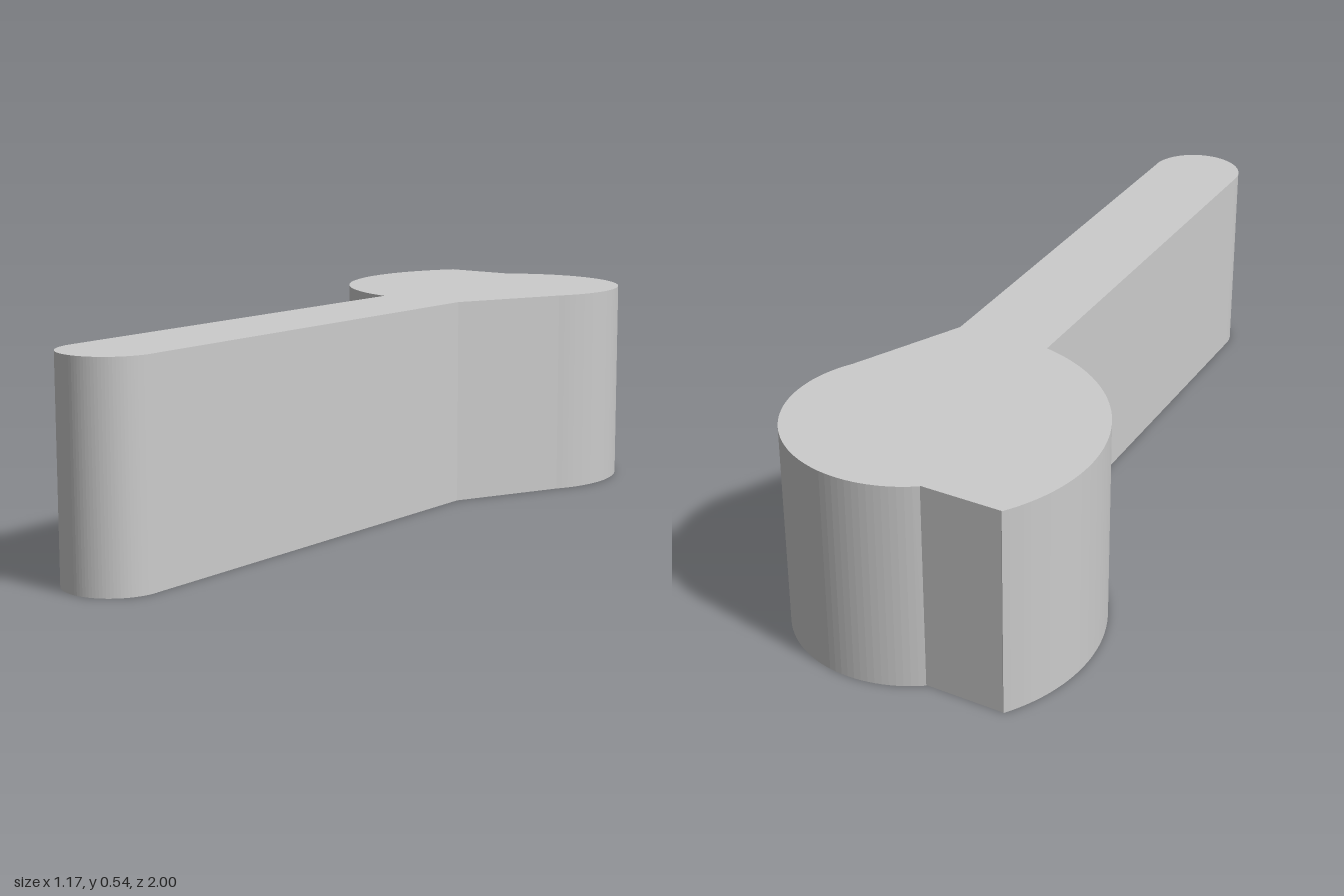
import * as THREE from 'three';

const HEIGHT = 0.54;

// Adds an arc around (cx, cy) between two outline points, given as [x, y]
function arcBetween(shape, cx, cy, r, from, to, clockwise) {
  const angle = ([x, y]) => Math.atan2(y - cy, x - cx);
  shape.absarc(cx, cy, r, angle(from), angle(to), clockwise);
}

export function createModel() {
  const group = new THREE.Group();
  const material = new THREE.MeshStandardMaterial({ color: 0xcccccc });

  // Plan outline, with y pointing to the back of the model
  const tip = [0.06, 1.0];
  const notch = [0.24, 0.9];
  const lobeEnd = [0.44, 0.335];
  const neckLeft = [0.185, 0.14];
  const neckRight = [-0.035, 0.25];
  const footLeft = [-0.354, -0.931];
  const footRight = [-0.576, -0.819];

  const outline = new THREE.Shape();
  outline.moveTo(...tip);
  outline.lineTo(...notch);
  arcBetween(outline, 0.28, 0.6, 0.305, notch, lobeEnd, true); // small lobe
  outline.lineTo(...neckLeft);
  outline.lineTo(...footLeft);
  arcBetween(outline, -0.465, -0.875, 0.125, footLeft, footRight, true); // rounded arm end
  outline.lineTo(...neckRight);
  arcBetween(outline, 0.275, 0.595, 0.461, neckRight, tip, true); // large lobe

  // Head and arm are one solid slab, laid flat on the ground
  const geometry = new THREE.ExtrudeGeometry(outline, {
    depth: HEIGHT,
    bevelEnabled: false,
    curveSegments: 24,
  });
  geometry.rotateX(-Math.PI / 2);

  const lever = new THREE.Mesh(geometry, material);
  lever.name = 'lever';
  group.add(lever);
  return group;
}
